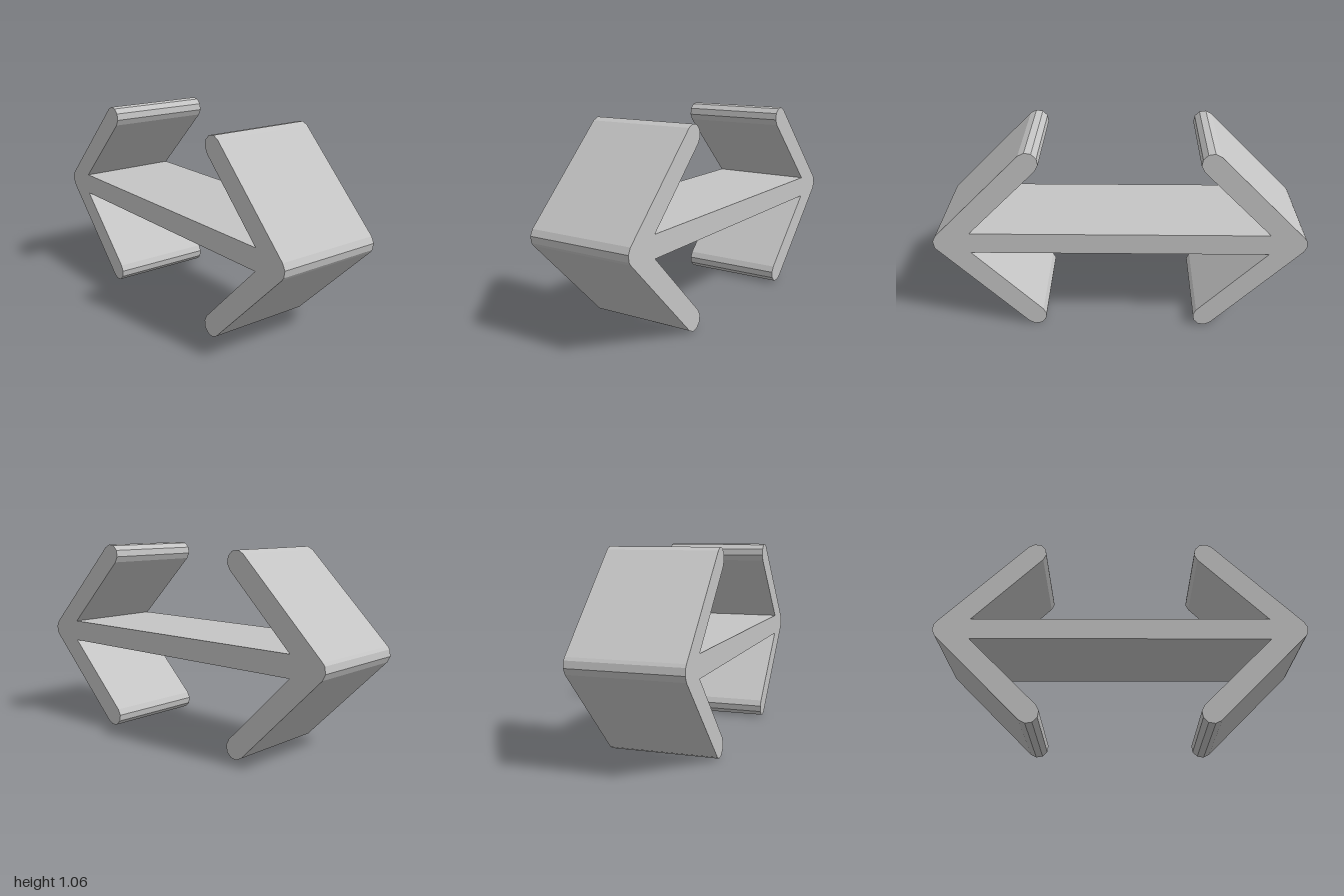
import * as THREE from 'three';

const R = 0.0586;      // half thickness of every bar
const TIP = 0.942;     // x of the arrow tip centre
const RISE = 0.472;    // height of the arm ends above the middle
const DEPTH = 0.586;
const MID = 0.53;

// Points on a coarse round end, at the given angles in degrees
function arc(cx, cy, angles) {
  return angles.map((a) => {
    const t = THREE.MathUtils.degToRad(a);
    return new THREE.Vector2(cx + R * Math.cos(t), cy + R * Math.sin(t));
  });
}

export function createModel() {
  const grey = new THREE.MeshStandardMaterial({ color: 0xc4c4c4 });
  grey.name = 'grey';

  // Right half of the outline, counter-clockwise from the lower notch
  const endX = TIP - RISE;
  const notchX = TIP - R * Math.SQRT2 - R;
  const half = [
    new THREE.Vector2(notchX, -R),
    ...arc(endX, -RISE, [135, 171, 207, 243, 279, 315]),
    ...arc(TIP, 0, [-45, -27, 9, 45]),
    ...arc(endX, RISE, [45, 81, 117, 153, 189, 225]),
    new THREE.Vector2(notchX, R),
  ];
  // The left half is the right half turned by 180 degrees
  const outline = [...half, ...half.map((p) => p.clone().negate())];

  // Double arrow: shaft and both heads in one extrusion
  const geometry = new THREE.ExtrudeGeometry(new THREE.Shape(outline), {
    depth: DEPTH,
    bevelEnabled: false,
  });
  geometry.translate(0, MID, -DEPTH / 2);

  const arrow = new THREE.Mesh(geometry, grey);
  arrow.name = 'doubleArrow';
  const group = new THREE.Group();
  group.name = 'doubleArrowModel';
  group.add(arrow);
  return group;
}
